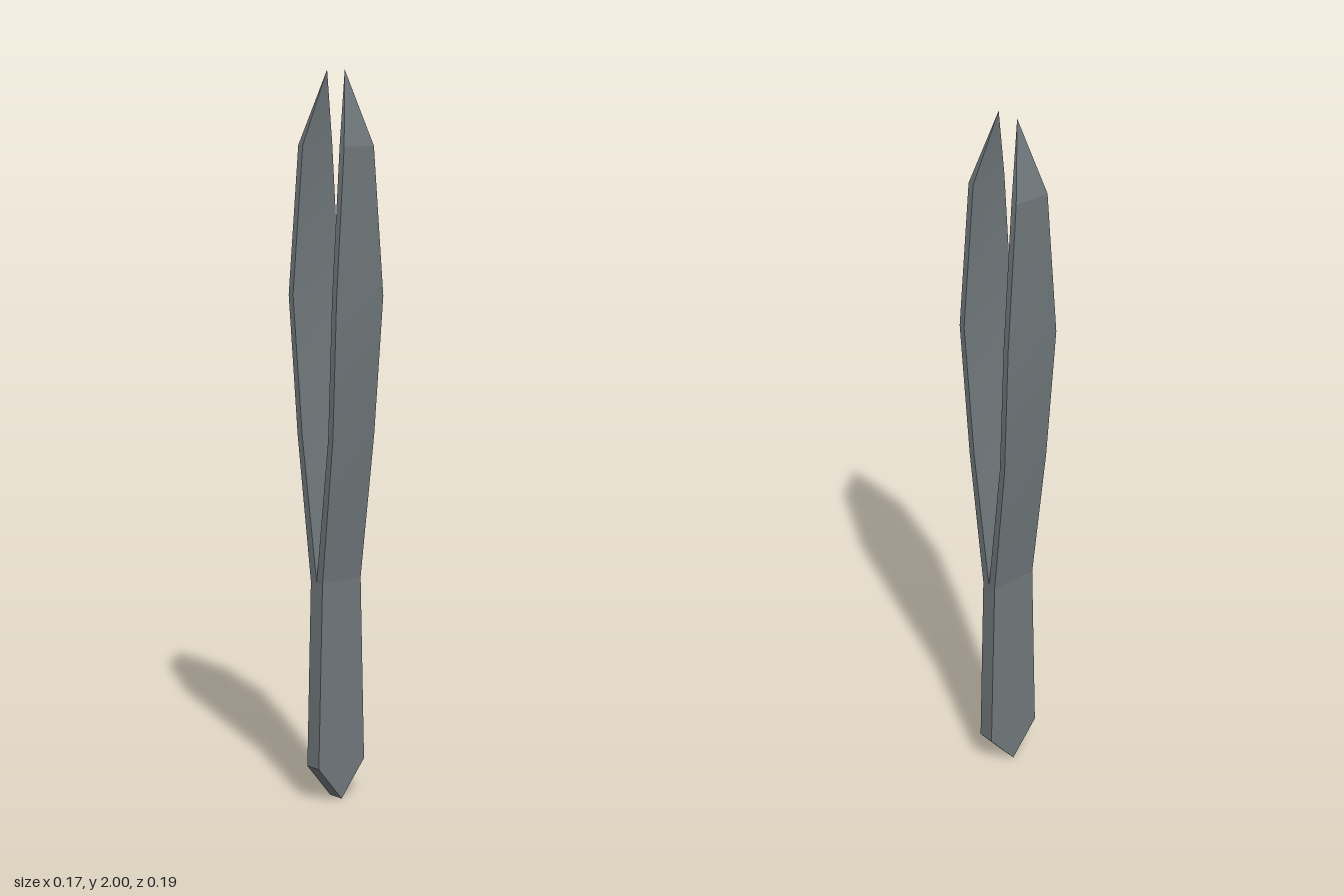
import * as THREE from 'three';
import { toCreasedNormals } from 'three/addons/utils/BufferGeometryUtils.js';

// Arm cross-sections from root to shoulder: [y, half width, inner z, outer z]
const SECTIONS = [
  [0.62, 0.07, 0, 0.024],
  [1.02, 0.075, 0.053, 0.072],
  [1.4, 0.084, 0.079, 0.097],
  [1.8, 0.053, 0.074, 0.092],
];
const TIP = [0, 2, 0.035];

function armGeometry() {
  const rings = SECTIONS.map(([y, w, zi, zo]) => [
    [-w, y, zo], [w, y, zo], [w, y, zi], [-w, y, zi],
  ]);
  const points = [];
  for (let k = 0; k < 4; k++) {
    const n = (k + 1) % 4;
    for (let i = 0; i < rings.length - 1; i++) {
      const a = rings[i][k], b = rings[i][n], c = rings[i + 1][n], d = rings[i + 1][k];
      points.push(...a, ...b, ...c, ...a, ...c, ...d);
    }
    // Pointed end
    const top = rings[rings.length - 1];
    points.push(...top[k], ...top[n], ...TIP);
  }
  const geometry = new THREE.BufferGeometry();
  geometry.setAttribute('position', new THREE.Float32BufferAttribute(points, 3));
  return toCreasedNormals(geometry, 0.25);
}

export function createModel() {
  const model = new THREE.Group();
  model.name = 'tweezers';
  const steel = new THREE.MeshStandardMaterial({ color: 0x70787b });
  steel.name = 'grey steel';

  // Solid handle with a pointed foot
  const outline = new THREE.Shape([
    [0, 0], [0.084, 0.1], [0.07, 0.62], [-0.07, 0.62], [-0.084, 0.1],
  ].map(([x, y]) => new THREE.Vector2(x, y)));
  const handleGeometry = new THREE.ExtrudeGeometry(outline, { depth: 0.048, bevelEnabled: false });
  handleGeometry.translate(0, 0, -0.024);
  const handle = new THREE.Mesh(handleGeometry, steel);
  handle.name = 'handle';
  model.add(handle);

  // Two bowed arms, the back one turned about the vertical axis
  const arm = armGeometry();
  ['frontArm', 'backArm'].forEach((name, i) => {
    const mesh = new THREE.Mesh(arm, steel);
    mesh.name = name;
    mesh.rotation.y = i * Math.PI;
    model.add(mesh);
  });
  return model;
}
